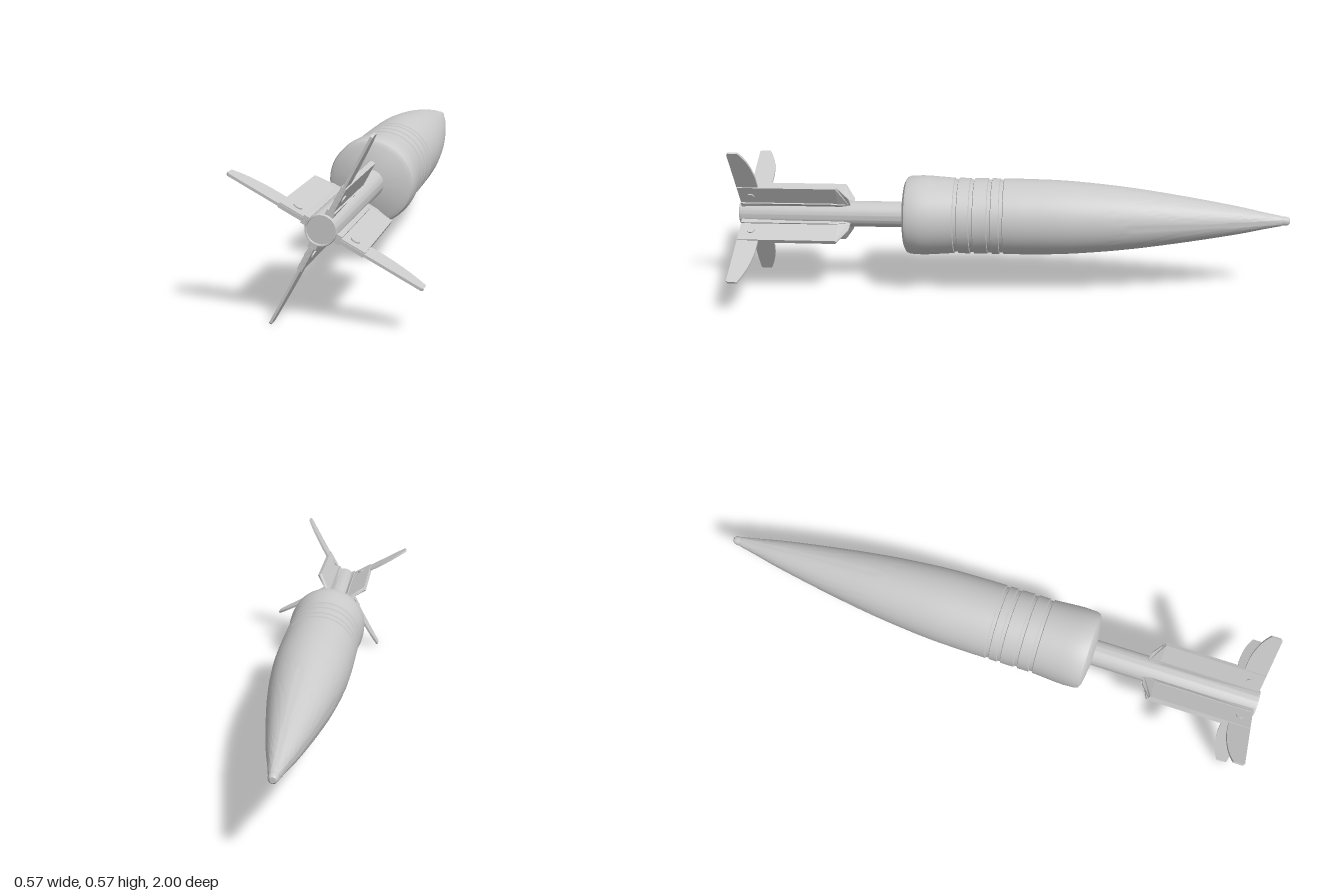
import * as THREE from 'three';
import { toCreasedNormals } from 'three/addons/utils/BufferGeometryUtils.js';

const material = new THREE.MeshStandardMaterial({ color: 0xcccccc });

function part(name, geometry, parent) {
  const mesh = new THREE.Mesh(geometry, material);
  mesh.name = name;
  parent.add(mesh);
  return mesh;
}

// Revolves [radius, z] points (ordered from nose to tail) about the z axis.
function turned(profile, segments = 72) {
  const points = profile.map(([r, z]) => new THREE.Vector2(r, z));
  const geometry = new THREE.LatheGeometry(points, segments).rotateX(Math.PI / 2);
  return toCreasedNormals(geometry, 0.4);
}

// Flat sheet drawn in (radius, z), centred on its thickness.
function sheet(shape, thickness) {
  return new THREE.ExtrudeGeometry(shape, { depth: thickness, bevelEnabled: false, curveSegments: 10 })
    .translate(0, 0, -thickness / 2)
    .rotateX(Math.PI / 2);
}

function polygon(points) {
  return new THREE.Shape(points.map(([r, z]) => new THREE.Vector2(r, z)));
}

// Thins a sheet to a wedge ahead of the given z.
function taperFront(geometry, z, factor) {
  const p = geometry.attributes.position;
  for (let i = 0; i < p.count; i++) {
    if (p.getZ(i) < z) p.setY(i, p.getY(i) * factor);
  }
  geometry.computeVertexNormals();
  return geometry;
}

function createFin(reach) {
  const fin = new THREE.Group();
  fin.name = 'fin';

  // Fixed plate with a wedge-shaped leading edge
  part('finPlate', sheet(polygon([[0.03, 0.635], [0.139, 0.635], [0.139, 0.99], [0.03, 0.99]]), 0.016), fin);
  const edge = sheet(polygon([[0.03, 0.59], [0.08, 0.595], [0.139, 0.63], [0.139, 0.635], [0.03, 0.635]]), 0.016);
  part('finLeadingEdge', taperFront(edge, 0.632, 0.3), fin);

  // Thicker root joining the plate to the tube
  const root = sheet(polygon([[0.03, 0.59], [0.052, 0.6], [0.062, 0.65], [0.062, 0.99], [0.03, 0.99]]), 0.026);
  part('finRoot', taperFront(root, 0.61, 0.3), fin);

  // Long swept blade at the tail
  const outline = new THREE.Shape();
  outline.moveTo(0.06, 0.992);
  outline.lineTo(0.06, 0.915);
  outline.lineTo(0.19, 0.915);
  outline.quadraticCurveTo(0.27, 0.922, reach, 0.953);
  outline.lineTo(reach, 0.985);
  outline.lineTo(reach - 0.006, 0.992);
  outline.closePath();
  part('finBlade', sheet(outline, 0.008), fin);

  // Pivot pin through the plate
  const pin = part('pivotPin', new THREE.CylinderGeometry(0.014, 0.014, 0.024, 20), fin);
  pin.position.set(0.094, 0, 0.948);
  return fin;
}

export function createModel() {
  const model = new THREE.Group();
  model.name = 'finnedShell';
  const axis = new THREE.Group();
  axis.name = 'assembly';
  axis.position.set(-0.007, 0.293, 0);
  model.add(axis);

  // Smooth ogive from the nose to the widest part of the body
  const ogive = new THREE.SplineCurve([
    [0.0185, -0.968], [0.032, -0.9], [0.053, -0.8], [0.087, -0.6], [0.115, -0.4],
    [0.133, -0.2], [0.1375, -0.05], [0.138, 0.035],
  ].map(([r, z]) => new THREE.Vector2(r, z))).getPoints(40).map((p) => [p.x, p.y]);

  // Shallow ring grooves round the body
  const grooves = [];
  for (const z of [0.04, 0.083, 0.147, 0.204]) {
    grooves.push([0.138, z - 0.008], [0.133, z - 0.006], [0.133, z + 0.006], [0.138, z + 0.008]);
  }
  const rear = [
    [0.139, 0.23], [0.144, 0.3], [0.145, 0.33], [0.143, 0.372],
    [0.138, 0.384], [0.124, 0.392], [0.04, 0.404],
  ];
  part('body', turned([...ogive.slice(0, -1), ...grooves, ...rear]), axis);

  // Blunt fuse tip
  part('noseTip', turned([
    [0, -1], [0.009, -0.999], [0.014, -0.994], [0.0165, -0.985], [0.0165, -0.97], [0.0185, -0.966],
  ], 36), axis);

  // Tail tube with a shallow recess in its end
  part('tailTube', turned([
    [0.047, 0.39], [0.047, 0.995], [0.045, 1], [0.042, 1], [0.041, 0.992], [0, 0.992],
  ], 48), axis);

  // Four crossed fins, slightly longer on the lower side
  [0.311, 0.311, 0.329, 0.329].forEach((reach, i) => {
    const fin = createFin(reach);
    fin.rotation.z = THREE.MathUtils.degToRad(61.5 + i * 90);
    axis.add(fin);
  });
  return model;
}
